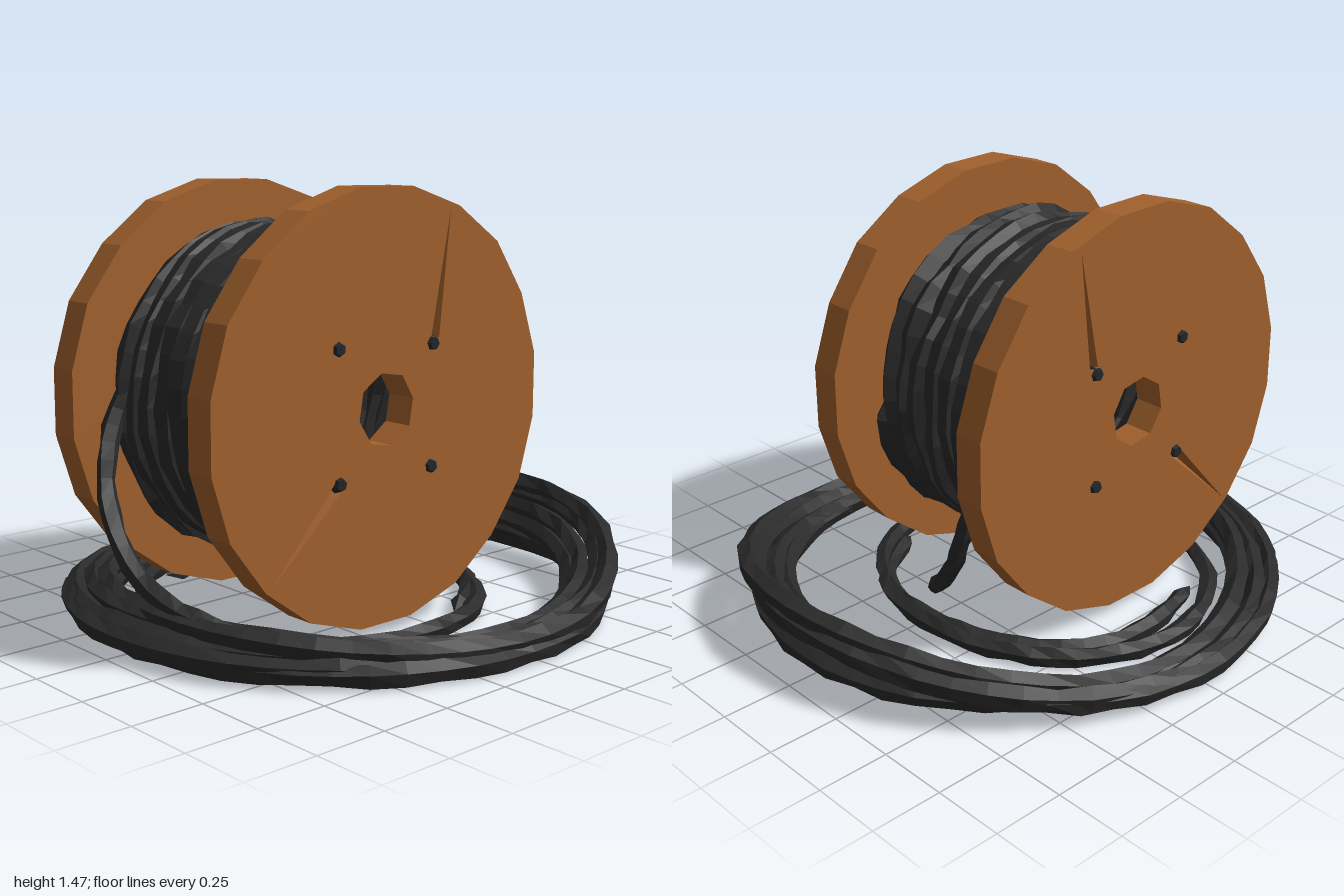
import * as THREE from 'three';

const CX = -0.185, CY = 0.765; // reel axis

// small repeatable noise in -1..1
const noise = (a, b = 0, c = 0) => {
  const s = Math.sin(a * 127.1 + b * 311.7 + c * 74.7) * 43758.5453;
  return (s - Math.floor(s)) * 2 - 1;
};

export function createModel() {
  const model = new THREE.Group();
  const wood = new THREE.MeshStandardMaterial({ color: 0xa2612d, flatShading: true, side: THREE.DoubleSide });
  const rubber = new THREE.MeshStandardMaterial({ color: 0x2a2a2a, flatShading: true });
  const iron = new THREE.MeshStandardMaterial({ color: 0x22262a, flatShading: true });
  wood.name = 'wood';
  rubber.name = 'black rubber';
  iron.name = 'dark iron';

  const add = (parent, name, geometry, material) => {
    const mesh = new THREE.Mesh(geometry, material);
    mesh.name = name;
    parent.add(mesh);
    return mesh;
  };

  // rough faceted cable along a list of points, closed to a blunt tip at each end
  const cable = (name, points, segments, radius) => {
    const sides = 5;
    const curve = new THREE.CatmullRomCurve3(points);
    const geo = new THREE.TubeGeometry(curve, segments, radius, sides, false);
    const pos = geo.attributes.position;
    const v = new THREE.Vector3();
    for (let i = 0; i <= segments; i++) {
      const centre = curve.getPointAt(i / segments);
      const end = i === 0 || i === segments;
      for (let j = 0; j <= sides; j++) {
        const k = i * (sides + 1) + j;
        v.fromBufferAttribute(pos, k).sub(centre);
        v.multiplyScalar(end ? 0 : 1 + 0.2 * noise(i, j % sides, segments)).add(centre);
        pos.setXYZ(k, v.x, Math.max(v.y, 0.004), v.z);
      }
    }
    geo.computeVertexNormals();
    return add(model, name, geo, rubber);
  };
  const path = (list) => list.map((p) => new THREE.Vector3(...p));

  // ---- wooden flanges ----
  const ring = (n, r, rough, phase = 0) => Array.from({ length: n }, (_, i) => {
    const a = (i / n) * Math.PI * 2 + phase;
    const q = r * (1 + rough * noise(i, n));
    return new THREE.Vector2(CX + q * Math.cos(a), CY + q * Math.sin(a));
  });
  const rim = ring(20, 0.72, 0.006, 0.157);
  const bore = ring(8, 0.122, 0.03, 0.2);
  // each split: two corners at the bolt, then the tip near the rim
  const splits = [
    [[0.015, 0.985], [0.05, 0.975], [0.1, 1.395]],
    [[-0.405, 0.562], [-0.375, 0.53], [-0.675, 0.262]],
  ].map((s) => s.map((p) => new THREE.Vector2(...p)));

  const board = (holes, depth) => {
    const shape = new THREE.Shape(rim);
    holes.forEach((h) => shape.holes.push(new THREE.Path(h)));
    return new THREE.ExtrudeGeometry(shape, { depth, bevelEnabled: false });
  };

  const bolts = [[-0.395, 0.98], [0.02, 0.96], [-0.39, 0.55], [0.015, 0.55]];
  for (const side of [1, -1]) {
    const flange = new THREE.Group();
    flange.name = side > 0 ? 'frontFlange' : 'backFlange';
    model.add(flange);
    add(flange, 'innerBoard', board([bore], 0.06), wood).position.z = side > 0 ? 0.31 : -0.37;
    add(flange, 'outerBoard', board([bore, ...splits], 0.05), wood).position.z = side > 0 ? 0.37 : -0.42;

    // V-shaped grooves lining the splits
    for (const [a, b, t] of splits) {
      const z = side * 0.42;
      const A = [a.x, a.y, z], B = [b.x, b.y, z], T = [t.x, t.y, z];
      const D = [(a.x + b.x) / 2, (a.y + b.y) / 2, side * 0.378];
      const tri = [A, D, T, D, B, T, A, B, D];
      const geo = new THREE.BufferGeometry();
      geo.setAttribute('position', new THREE.Float32BufferAttribute(tri.flat(), 3));
      geo.computeVertexNormals();
      add(flange, 'split', geo, wood);
    }

    // bolt heads
    bolts.forEach(([x, y], i) => {
      const bolt = add(flange, 'bolt', new THREE.CylinderGeometry(0.02, 0.03, 0.03, 6), iron);
      bolt.rotation.set(side * Math.PI / 2, i * 0.4, 0);
      bolt.position.set(x, y, side * 0.418);
    });
  }

  // ---- cable wound on the reel ----
  const wound = [];
  const TURNS = 8, STEPS = 20;
  for (let i = 0; i <= TURNS * STEPS; i++) {
    const turn = i / STEPS, a = turn * Math.PI * 2;
    const r = 0.53 + 0.012 * noise(i, 3);
    const z = THREE.MathUtils.clamp(-0.3 + turn * 0.075, -0.266, 0.266);
    wound.push(new THREE.Vector3(CX + r * Math.cos(a), CY + r * Math.sin(a), z));
  }
  cable('woundCable', wound, 320, 0.048);

  // ---- big loops on the floor, stacking up towards +x ----
  const loops = [];
  const LOOPS = 6;
  for (let i = 0; i <= LOOPS * 24; i++) {
    const u = (i / 24) * Math.PI * 2 + Math.PI, q = i / (LOOPS * 24);
    const c = Math.cos(u);
    const r = 0.893 + 0.066 * Math.sin(u * 0.83 + 1);
    const rise = (c > 0 ? 0.21 : 0.07) * q * c * c;
    loops.push(new THREE.Vector3(r * c, 0.043 + 0.04 * q + rise, r * 0.957 * Math.sin(u)));
  }
  cable('floorLoops', loops, 300, 0.037);

  // lead sweeping forward off the -x side of the reel into the floor loops
  cable('leftLead', path([
    [-0.7, 0.85, -0.26], [-0.79, 0.68, -0.25], [-0.86, 0.5, -0.18], [-0.88, 0.34, -0.07],
    [-0.87, 0.22, 0.08], [-0.81, 0.15, 0.28], [-0.67, 0.1, 0.48], [-0.44, 0.08, 0.69],
  ]), 26, 0.033);

  // lead running down the +x side to a loose end
  cable('rightLead', path([
    [0.33, 0.85, -0.27], [0.38, 0.66, -0.26], [0.4, 0.48, -0.21], [0.38, 0.31, -0.13],
    [0.35, 0.17, -0.03], [0.34, 0.07, 0.06],
  ]), 18, 0.032);

  // smaller coil lying under the reel
  cable('innerCoil', path([
    [0.1, 0.04, 0.46], [0.32, 0.045, 0.32], [0.42, 0.05, 0.18], [0.45, 0.05, 0], [0.43, 0.05, -0.27],
    [0.25, 0.045, -0.55], [-0.1, 0.045, -0.69], [-0.48, 0.045, -0.53], [-0.67, 0.045, -0.1],
    [-0.52, 0.045, 0.4], [-0.16, 0.045, 0.56], [0.23, 0.045, 0.44], [0.43, 0.05, 0.08],
    [0.34, 0.05, -0.35], [0.15, 0.045, -0.55], [-0.1, 0.045, -0.59], [-0.39, 0.045, -0.52],
  ]), 76, 0.032);

  return model;
}
